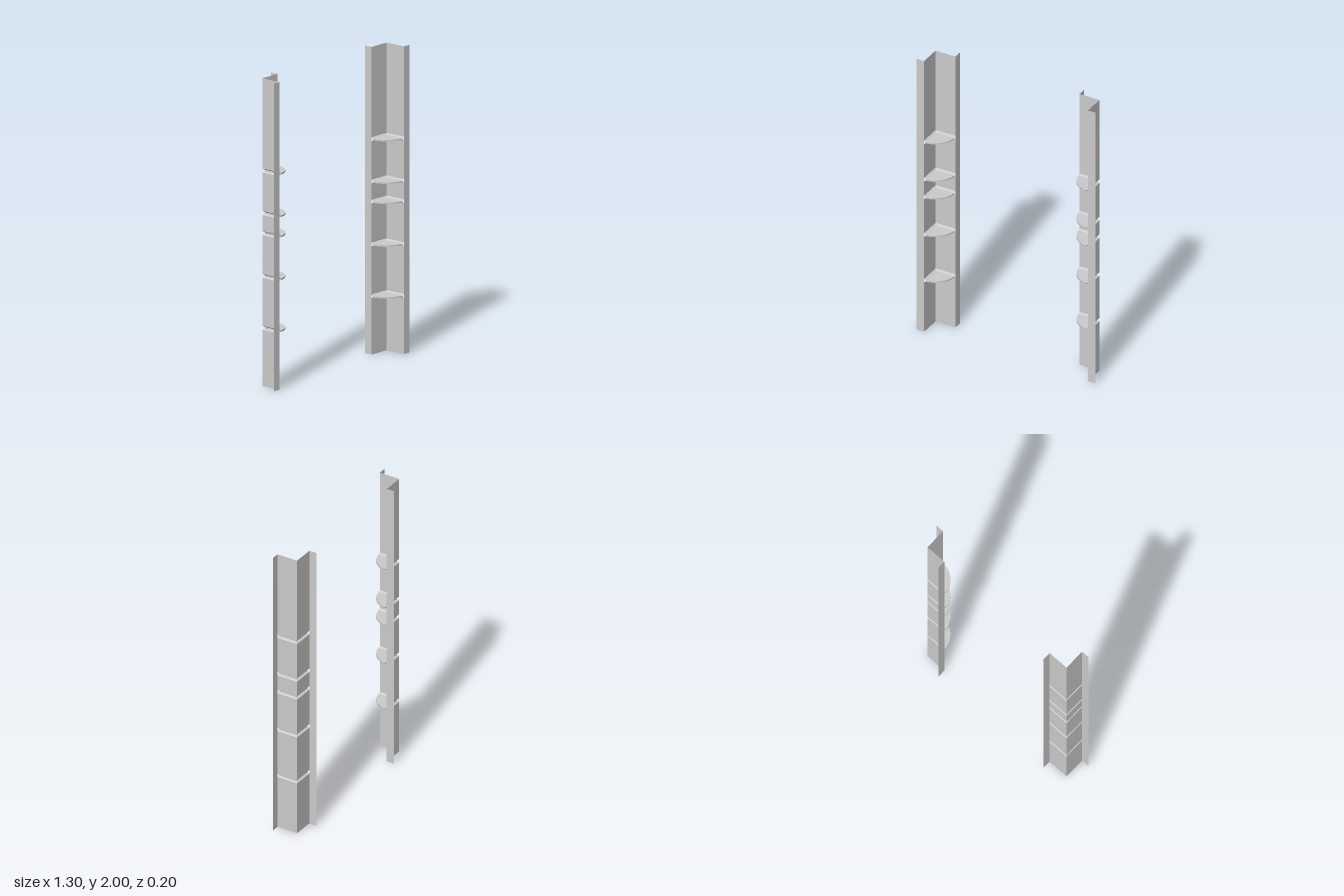
import * as THREE from 'three';

const H = 2, W = 0.145, LIP = 0.055;      // height, wall width, flange width
const CX = 0.595, CZ = -0.045;            // spine (inner corner) of each column
const SHELVES = [0.378, 0.715, 0.993, 1.124, 1.4];
const T = 0.01, GAP = 0.026, INSET = 0.013; // shelf thickness, groove height and depth

const sheetMat = new THREE.MeshStandardMaterial({ color: 0xcccccc, side: THREE.DoubleSide });
const solidMat = new THREE.MeshStandardMaterial({ color: 0xcccccc });

// Vertical strip between two [u, v, y] edges; u and v point into the corner
function sheet(name, side, rows) {
  const pos = [];
  const put = ([u, v, y]) => pos.push(side * (CX - u), y, CZ + v);
  for (let i = 0; i < rows.length - 1; i++) {
    const [a, b] = rows[i], [d, c] = rows[i + 1];
    [a, b, c, a, c, d].forEach(put);
  }
  const g = new THREE.BufferGeometry();
  g.setAttribute('position', new THREE.Float32BufferAttribute(pos, 3));
  g.computeVertexNormals();
  const m = new THREE.Mesh(g, sheetMat);
  m.name = name;
  return m;
}

// Quarter-round shelf seated in the groove
function shelf(side, y) {
  const a = Math.asin(INSET / W);
  const s = new THREE.Shape();
  s.moveTo(side * (CX - INSET), CZ + INSET);
  const n = 24;
  for (let i = 0; i <= n; i++) {
    const t = a + (Math.PI / 2 - 2 * a) * i / n;
    s.lineTo(side * (CX - W * Math.cos(t)), CZ + W * Math.sin(t));
  }
  const g = new THREE.ExtrudeGeometry(s, { depth: T, bevelEnabled: false });
  g.rotateX(Math.PI / 2);
  g.translate(0, y + T / 2, 0);
  const m = new THREE.Mesh(g, solidMat);
  m.name = 'shelf';
  return m;
}

function column(side) {
  const g = new THREE.Group();
  g.name = side > 0 ? 'leftColumn' : 'rightColumn';

  // Wall section as [height, inset]: flat panels with a groove at each shelf
  const section = [[0, 0]];
  for (const y of SHELVES) {
    section.push([y - GAP / 2, 0], [y - T / 2, INSET], [y + T / 2, INSET], [y + GAP / 2, 0]);
  }
  section.push([H, 0]);
  g.add(sheet('backWall', side, section.map(([y, d]) => [[d, d, y], [W, d, y]])));
  g.add(sheet('sideWall', side, section.map(([y, d]) => [[d, W, y], [d, d, y]])));

  // Flanges folded outward from the free edges of the walls
  const ends = [0, H];
  g.add(sheet('frontFlange', side, ends.map(y => [[-LIP, W, y], [0, W, y]])));
  g.add(sheet('backFlange', side, ends.map(y => [[W, 0, y], [W, -LIP, y]])));

  for (const y of SHELVES) g.add(shelf(side, y));
  return g;
}

export function createModel() {
  const model = new THREE.Group();
  model.name = 'cornerShelves';
  for (const side of [-1, 1]) model.add(column(side));
  return model;
}
